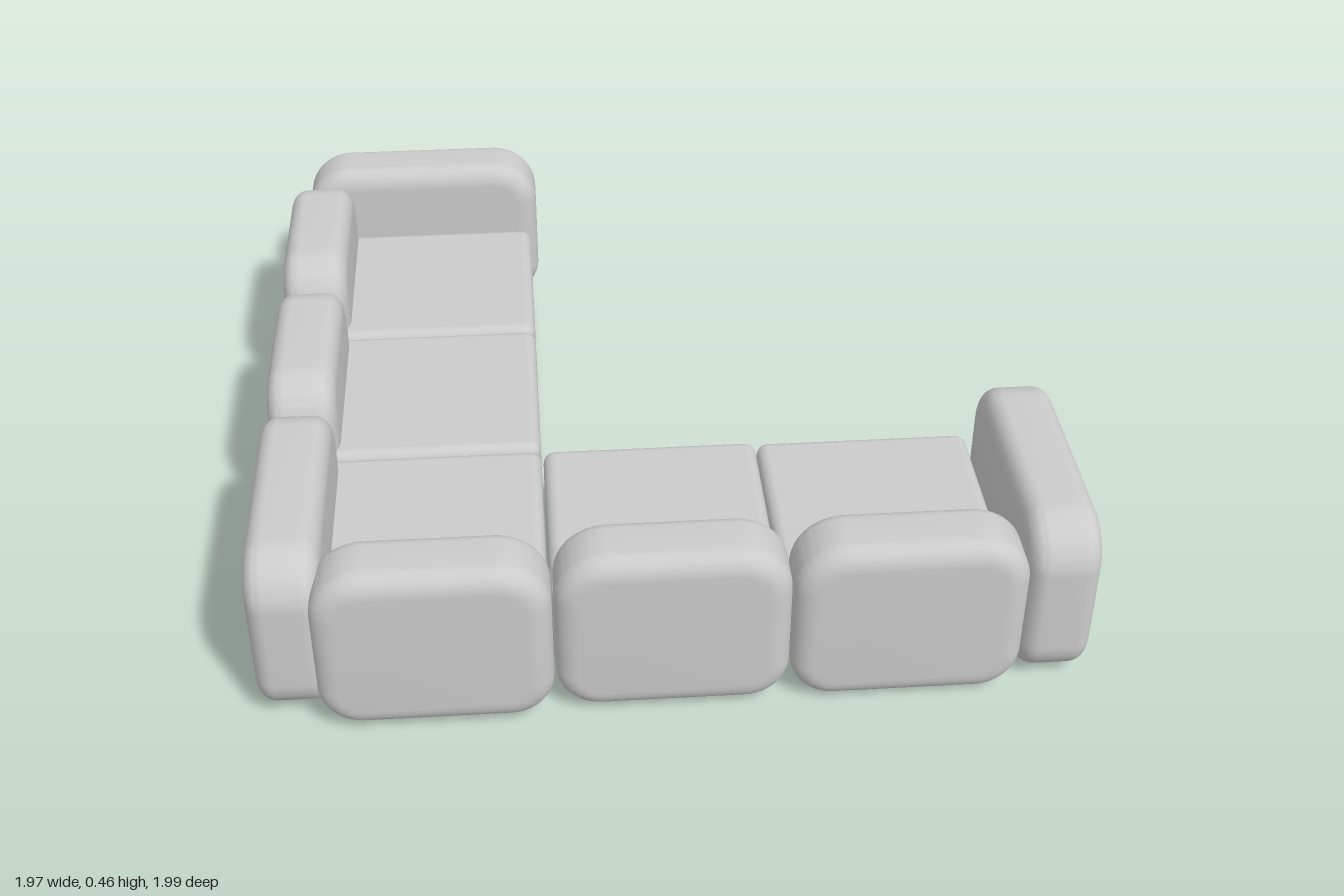
import * as THREE from 'three';
import { toCreasedNormals } from 'three/addons/utils/BufferGeometryUtils.js';
import { RoundedBoxGeometry } from 'three/addons/geometries/RoundedBoxGeometry.js';

const material = new THREE.MeshStandardMaterial({ color: 0xcccccc });
const PANEL_THICKNESS = 0.175;
const PANEL_HEIGHT = 0.445;
const SEAT_SIZE = 0.545;
const SEAT_HEIGHT = 0.25;

// Upright pillow panel: rounded outline with a soft elliptical edge, centred on the origin
function panelGeometry(length) {
  const w = length / 2, h = PANEL_HEIGHT / 2, rt = 0.125, rb = 0.105;
  const s = new THREE.Shape();
  s.moveTo(-w + rb, -h);
  s.lineTo(w - rb, -h);
  s.absarc(w - rb, -h + rb, rb, -Math.PI / 2, 0);
  s.lineTo(w, h - rt);
  s.absarc(w - rt, h - rt, rt, 0, Math.PI / 2);
  s.lineTo(-w + rt, h);
  s.absarc(-w + rt, h - rt, rt, Math.PI / 2, Math.PI);
  s.lineTo(-w, -h + rb);
  s.absarc(-w + rb, -h + rb, rb, Math.PI, Math.PI * 1.5);
  const bevel = 0.045;
  const g = new THREE.ExtrudeGeometry(s, {
    depth: PANEL_THICKNESS - 2 * bevel,
    bevelThickness: bevel, bevelSize: 0.055, bevelOffset: -0.055,
    bevelSegments: 8, curveSegments: 10,
  });
  g.translate(0, 0, -PANEL_THICKNESS / 2 + bevel);
  return toCreasedNormals(g, 0.7);
}

export function createModel() {
  const sofa = new THREE.Group();
  sofa.name = 'cornerSofa';

  const add = (name, geometry, x, y, z, turned = false) => {
    const mesh = new THREE.Mesh(geometry, material);
    mesh.name = name;
    mesh.position.set(x, y, z);
    if (turned) mesh.rotation.y = Math.PI / 2;
    sofa.add(mesh);
  };

  // Seat blocks: [x, bottom, z]
  const seat = new RoundedBoxGeometry(SEAT_SIZE, SEAT_HEIGHT, SEAT_SIZE, 4, 0.03);
  [
    [-0.572, 0.01, -0.55],
    [-0.572, 0.01, -0.007],
    [-0.572, 0.01, 0.54],
    [-0.022, 0.005, 0.535],
    [0.525, 0, 0.535],
  ].forEach(([x, y, z], i) => add(`seat${i + 1}`, seat, x, y + SEAT_HEIGHT / 2, z));

  // Short back cushions: [x, middle height, z, turned along z]
  const back = panelGeometry(0.545);
  [
    [-0.898, 0.235, -0.568, true],
    [-0.898, 0.235, -0.01, true],
    [-0.565, 0.24, 0.905, false],
    [-0.015, 0.235, 0.88, false],
    [0.533, 0.23, 0.88, false],
  ].forEach(([x, y, z, t], i) => add(`backCushion${i + 1}`, back, x, y, z, t));

  // Long panels: the two arms and the corner back
  const arm = panelGeometry(0.668);
  add('cornerBack', arm, -0.898, 0.235, 0.606, true);
  add('leftArm', arm, 0.893, 0.23, 0.606, true);
  add('rearArm', arm, -0.613, 0.235, -0.912);

  return sofa;
}
